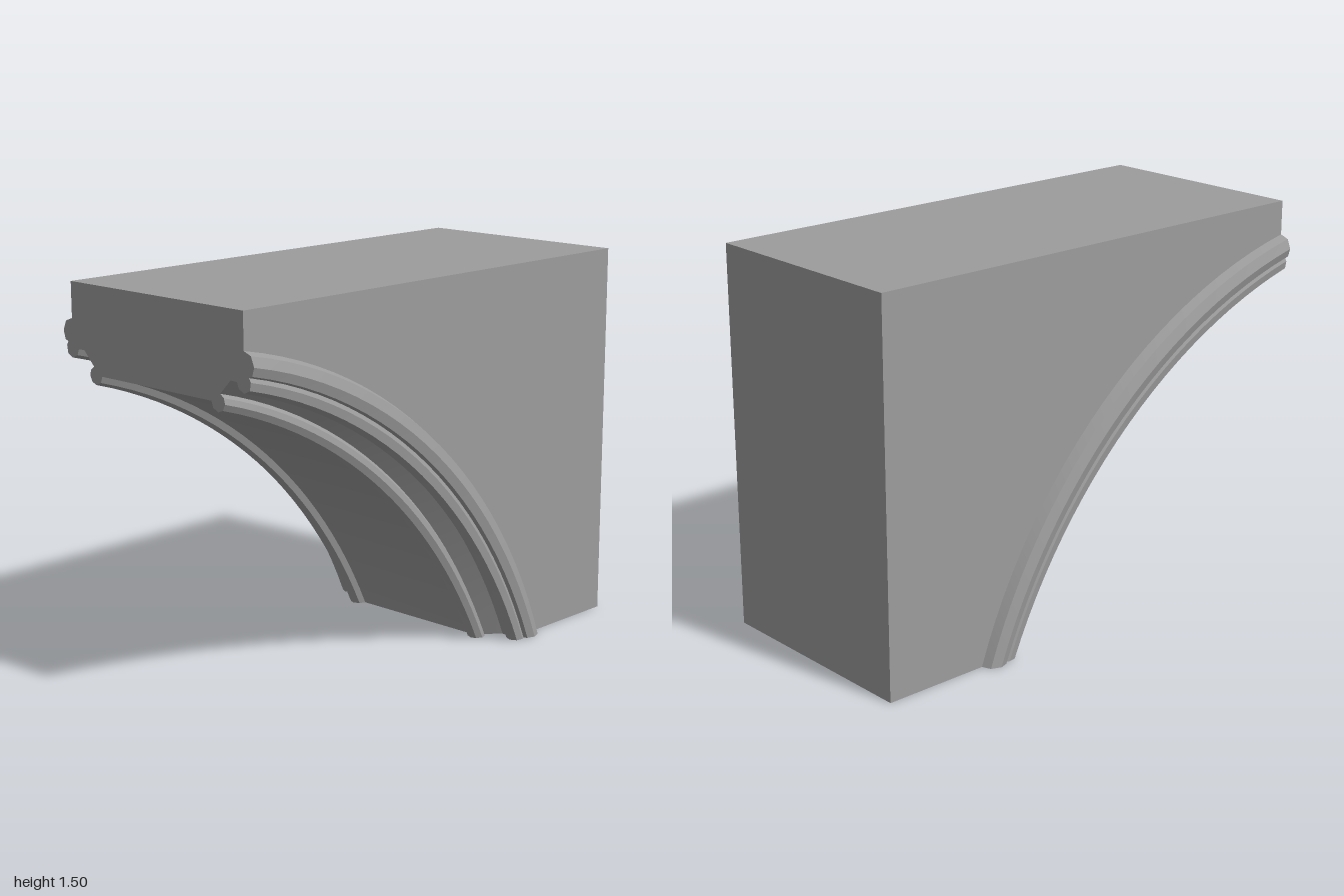
import * as THREE from 'three';
import { toCreasedNormals } from 'three/addons/utils/BufferGeometryUtils.js';

// Sizes of the block, and the number of steps along the arch
const HALF = 0.45, TOP = 1.5, FRONT = 1, BACK = -1, STEPS = 24;

// Half of the moulding section on the front plane: [x, y], outside to middle
const half = [
  [0.45, 1.365], [0.485, 1.352], [0.5, 1.315], [0.49, 1.283], [0.475, 1.277], // outer roll
  [0.483, 1.262], [0.478, 1.233], [0.452, 1.22], [0.425, 1.232], [0.416, 1.255], // second roll
  [0.385, 1.256], [0.333, 1.203], // fillet and chamfer
  [0.35, 1.19], [0.356, 1.168], [0.344, 1.145], [0.322, 1.137], [0.297, 1.148], [0.288, 1.172], // inner roll
];
const profile = [...half, ...half.map(([x, y]) => [-x, y]).reverse()];

// Arc from height y on the front plane down to the foot at y = 0, as [z, y].
// The inner arcs are a little flatter than the outer ones.
function arcPoints(y) {
  const t = (y - 1.14) / 0.225;
  const foot = -0.34 - 0.232 * t;
  const cz = 1.62 - 0.2 * t;
  const cy = ((FRONT - cz) ** 2 + y * y - (foot - cz) ** 2) / (2 * y);
  const r = Math.hypot(cz - FRONT, y - cy);
  const a0 = Math.asin((cz - FRONT) / r), a1 = Math.acos(-cy / r);
  return Array.from({ length: STEPS + 1 }, (_, i) => {
    const a = a0 + (a1 - a0) * i / STEPS;
    return [cz - r * Math.sin(a), cy + r * Math.cos(a)];
  });
}

function sweepGeometry() {
  const arcs = profile.map(([x, y]) => arcPoints(y).map(([z, h]) => [x, h, z]));
  const index = [];
  const n = STEPS + 1;
  for (let j = 0; j < profile.length - 1; j++) {
    for (let i = 0; i < STEPS; i++) {
      const a = j * n + i, b = a + n;
      index.push(a, b, a + 1, b, b + 1, a + 1);
    }
  }
  const g = new THREE.BufferGeometry();
  g.setAttribute('position', new THREE.Float32BufferAttribute(arcs.flat(2), 3));
  g.setIndex(index);
  return toCreasedNormals(g, 0.3);
}

const flat = (pts) => new THREE.ShapeGeometry(new THREE.Shape(pts.map(([x, y]) => new THREE.Vector2(x, y))));

export function createModel() {
  const group = new THREE.Group();
  const material = new THREE.MeshStandardMaterial({ color: 0x9c9c9c });
  const add = (name, geometry) => {
    const mesh = new THREE.Mesh(geometry, material);
    mesh.name = name;
    group.add(mesh);
  };

  // Curved underside with its rolls
  add('archMoulding', sweepGeometry());

  // Moulded end faces: upright at the front, level at the foot
  add('frontFace', flat([[HALF, TOP], ...profile, [-HALF, TOP]]).translate(0, 0, FRONT));
  const foot = profile.map(([x, y]) => [x, arcPoints(y)[STEPS][0]]);
  add('bottomFace', flat([[HALF, BACK], ...foot, [-HALF, BACK]]).rotateX(Math.PI / 2));

  // Block sides, cut along the outermost arc
  const side = [...arcPoints(half[0][1]), [BACK, 0], [BACK, TOP], [FRONT, TOP]];
  add('leftSide', flat(side.map(([z, y]) => [-z, y])).rotateY(Math.PI / 2).translate(HALF, 0, 0));
  add('rightSide', flat(side).rotateY(-Math.PI / 2).translate(-HALF, 0, 0));

  // Plain top and back
  add('topFace', new THREE.PlaneGeometry(2 * HALF, FRONT - BACK).rotateX(-Math.PI / 2).translate(0, TOP, 0));
  add('backFace', new THREE.PlaneGeometry(2 * HALF, TOP).rotateY(Math.PI).translate(0, TOP / 2, BACK));
  return group;
}
